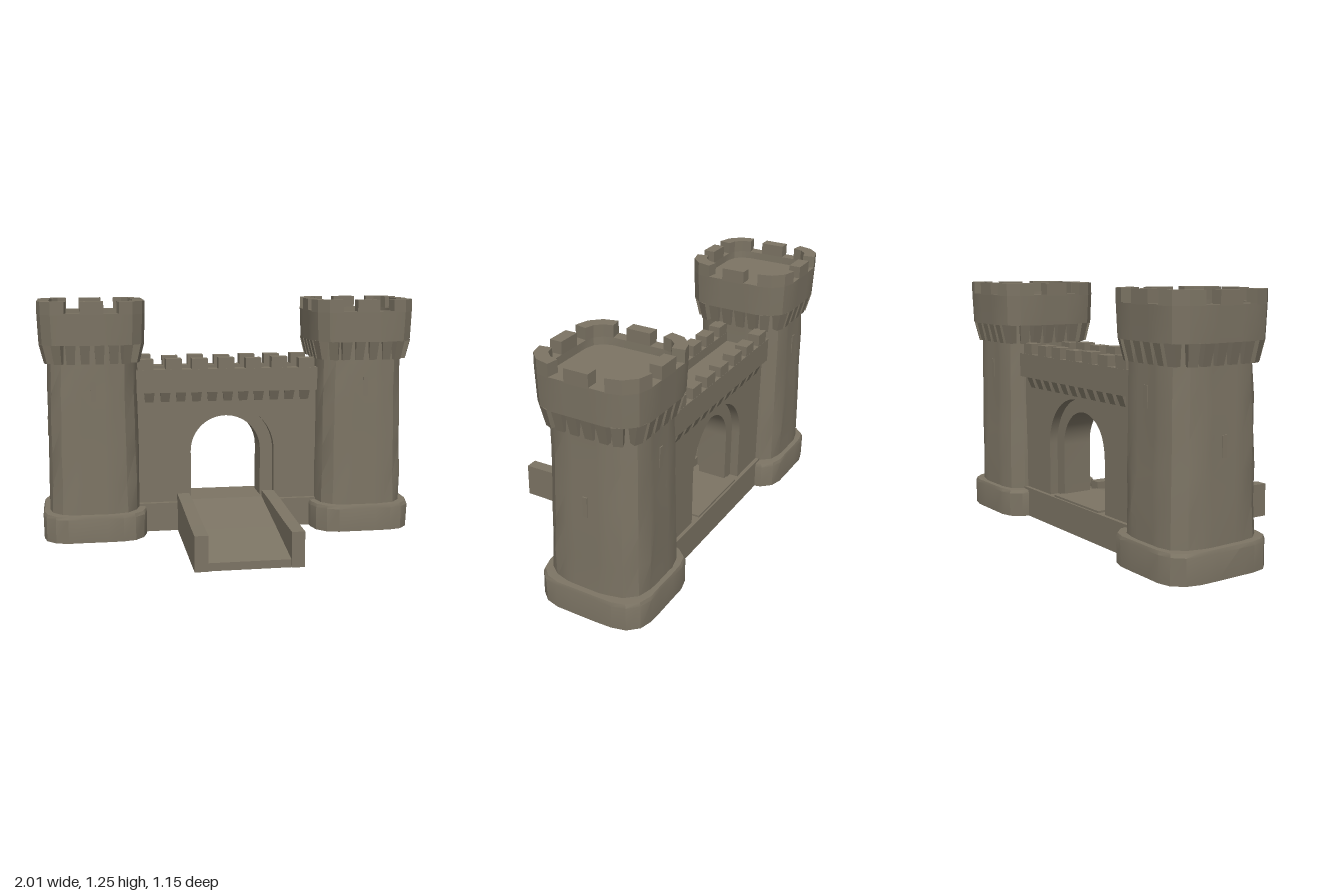
import * as THREE from 'three';
import { toCreasedNormals } from 'three/addons/utils/BufferGeometryUtils.js';

const stone = new THREE.MeshStandardMaterial({ color: 0x7c7464 });

function add(parent, name, geo, x = 0, y = 0, z = 0) {
  const mesh = new THREE.Mesh(geo, stone);
  mesh.name = name;
  mesh.position.set(x, y, z);
  parent.add(mesh);
  return mesh;
}

// Box given by its limits
function block(parent, name, x0, x1, y0, y1, z0, z1) {
  return add(parent, name, new THREE.BoxGeometry(x1 - x0, y1 - y0, z1 - z0),
    (x0 + x1) / 2, (y0 + y1) / 2, (z0 + z1) / 2);
}

// Rounded square, six points per side: four along the edge, two on the corner
function outline(a, b, r) {
  const pts = [], s = a - r;
  for (let k = 0; k < 4; k++) {
    const c = Math.cos(k * Math.PI / 2), n = Math.sin(k * Math.PI / 2);
    const local = [[a, -s], [a, -0.06], [a, 0.06], [a, s]];
    for (const t of [Math.PI / 6, Math.PI / 3]) local.push([s + r * Math.cos(t), s + r * Math.sin(t)]);
    for (const [u, v] of local) pts.push([u * c - v * n, (u * n + v * c) * b / a]);
  }
  return pts;
}

// Repeatable roughness for hewn stone
function rough(i, j) {
  const v = Math.sin(i * 12.99 + j * 78.23) * 43758.55;
  return v - Math.floor(v) - 0.5;
}

// Skin over rings [y, halfX, halfZ, radius], closed at both ends
function loft(rings, amount = 0) {
  const pos = [], idx = [], n = 24;
  rings.forEach(([y, a, b, r], j) => outline(a, b, r).forEach(([x, z], i) => {
    const k = 1 + amount * rough(i, j);
    pos.push(x * k, y, z * k);
  }));
  for (let j = 0; j < rings.length - 1; j++) {
    for (let i = 0; i < n; i++) {
      const p = j * n + i, q = j * n + (i + 1) % n;
      idx.push(p, p + n, q, q, p + n, q + n);
    }
  }
  const last = (rings.length - 1) * n, c = rings.length * n;
  pos.push(0, rings[0][0], 0, 0, rings.at(-1)[0], 0);
  for (let i = 0; i < n; i++) {
    const m = (i + 1) % n;
    idx.push(c, i, m, c + 1, last + m, last + i);
  }
  const g = new THREE.BufferGeometry();
  g.setAttribute('position', new THREE.Float32BufferAttribute(pos, 3));
  g.setIndex(idx);
  return toCreasedNormals(g, 0.45);
}

// Bracket with its front face at z = 0, leaning back towards the bottom
function bracket(w, h, d, lean) {
  const g = new THREE.BoxGeometry(w, h, d).translate(0, 0, -d / 2);
  const p = g.attributes.position;
  for (let i = 0; i < p.count; i++) {
    if (p.getY(i) < 0) {
      p.setX(i, p.getX(i) * 0.8);
      if (p.getZ(i) > -d / 2) p.setZ(i, -lean);
    }
  }
  g.computeVertexNormals();
  return g;
}

function makeTower(side) {
  const t = new THREE.Group();
  t.name = side > 0 ? 'leftTower' : 'rightTower';
  t.position.set(side * 0.725, 0, -0.287);

  add(t, 'towerBase', loft([
    [0, 0.272, 0.285, 0.13], [0.125, 0.274, 0.285, 0.13],
    [0.142, 0.268, 0.279, 0.13], [0.145, 0.22, 0.23, 0.13]], 0.012));
  add(t, 'towerShaft', loft([
    [0.13, 0.24, 0.256, 0.14], [0.3, 0.238, 0.254, 0.14], [0.46, 0.237, 0.251, 0.14],
    [0.62, 0.235, 0.248, 0.14], [0.78, 0.233, 0.245, 0.14], [0.92, 0.231, 0.242, 0.14],
    [1.04, 0.231, 0.242, 0.14]], 0.03));

  // Ring of brackets under the parapet
  const geo = bracket(0.052, 0.1, 0.07, 0.025), h = 0.272, r = 0.14;
  for (let k = 0; k < 4; k++) {
    const spots = [-0.11, -0.037, 0.037, 0.11].map(v => [h, v, 0]);
    for (const a of [0.39, 1.18]) spots.push([h - r + r * Math.cos(a), h - r + r * Math.sin(a), a]);
    for (const [u, v, a] of spots) {
      const q = k * Math.PI / 2, c = Math.cos(q), s = Math.sin(q);
      const m = add(t, 'towerBracket', geo, u * c - v * s, 0.982, u * s + v * c);
      m.rotation.y = Math.PI / 2 - q - a;
    }
  }

  // Hollow parapet with a sunken floor
  add(t, 'towerParapet', loft([
    [1.03, 0.272, 0.276, 0.14], [1.1, 0.275, 0.278, 0.14], [1.192, 0.278, 0.281, 0.14],
    [1.192, 0.218, 0.221, 0.09], [1.155, 0.216, 0.219, 0.09]]));

  // Merlons: one in the middle of each side, one round each corner
  const outer = outline(0.278, 0.281, 0.14), inner = outline(0.218, 0.221, 0.09);
  for (let k = 0; k < 4; k++) {
    for (const [from, to] of [[1, 2], [3, 6]]) {
      const ring = [];
      for (let i = from; i <= to; i++) ring.push(outer[(k * 6 + i) % 24]);
      for (let i = to; i >= from; i--) ring.push(inner[(k * 6 + i) % 24]);
      const shape = new THREE.Shape(ring.map(([x, z]) => new THREE.Vector2(x, -z)));
      const g = new THREE.ExtrudeGeometry(shape, { depth: 0.066, bevelEnabled: false });
      add(t, 'towerMerlon', g.rotateX(-Math.PI / 2), 0, 1.187 + 0.004 * rough(k, from), 0);
    }
  }

  // Arrow slits on the front, back and outer side
  const slit = new THREE.BoxGeometry(0.024, 0.1, 0.008);
  add(t, 'arrowSlit', slit, 0, 0.79, 0.245);
  add(t, 'arrowSlit', slit, 0, 0.79, -0.245);
  add(t, 'arrowSlit', slit, side * 0.236, 0.58, 0).rotation.y = Math.PI / 2;
  return t;
}

// Wall layer with an arched gateway of the given half width
function archLayer(parent, name, r, z0, z1) {
  const s = new THREE.Shape();
  s.moveTo(-0.54, 0.1);
  s.lineTo(-r, 0.1);
  s.lineTo(-r, 0.425);
  s.absarc(0, 0.425, r, Math.PI, 0, true);
  s.lineTo(r, 0.1);
  s.lineTo(0.54, 0.1);
  s.lineTo(0.54, 0.83);
  s.lineTo(-0.54, 0.83);
  const g = new THREE.ExtrudeGeometry(s, { depth: z1 - z0, bevelEnabled: false, curveSegments: 16 });
  add(parent, name, toCreasedNormals(g, 0.5), -0.005, 0, z0);
}

function makeWall() {
  const w = new THREE.Group();
  w.name = 'gateWall';
  block(w, 'wallPlinth', -0.52, 0.52, 0, 0.155, -0.47, -0.178);
  archLayer(w, 'outerArch', 0.262, -0.25, -0.205);
  archLayer(w, 'innerArch', 0.193, -0.405, -0.25);
  archLayer(w, 'outerArch', 0.262, -0.45, -0.405);

  // Parapet, merlons and brackets on both faces
  const geo = bracket(0.055, 0.062, 0.04, 0.025);
  for (const f of [1, -1]) {
    const mid = -0.328, z = mid + f * 0.115;
    block(w, 'wallParapet', -0.52, 0.52, 0.758, 0.882, z - 0.033, z + 0.033);
    for (let i = -3; i <= 3; i++) {
      const x = i * 0.146 - 0.005 + 0.02 * rough(i, f);
      block(w, 'wallMerlon', x - 0.043, x + 0.043, 0.87, 0.938 + 0.01 * rough(f, i), z - 0.032, z + 0.032);
    }
    for (let i = -5; i <= 5; i++) {
      const m = add(w, 'wallBracket', geo, i * 0.085, 0.729, mid + f * 0.145);
      m.rotation.y = f > 0 ? 0 : Math.PI;
    }
  }
  return w;
}

// Side profile of (z, y) points stretched from x0 to x1
function profile(parent, name, pts, x0, x1) {
  const s = new THREE.Shape(pts.map(p => new THREE.Vector2(...p)));
  const g = new THREE.ExtrudeGeometry(s, { depth: x1 - x0, bevelEnabled: false });
  add(parent, name, g.rotateY(-Math.PI / 2), x1, 0, 0);
}

function makeRamp() {
  const r = new THREE.Group();
  r.name = 'ramp';
  profile(r, 'rampFloor', [[0.568, 0], [0.568, 0.04], [0.2, 0.102], [-0.2, 0.165], [-0.46, 0.165], [-0.46, 0]], -0.22, 0.2);
  const side = [[0.575, 0], [0.575, 0.177], [0.4, 0.18], [0.2, 0.188], [0, 0.197], [-0.2, 0.2], [-0.2, 0]];
  profile(r, 'rampSide', side, -0.28, -0.213);
  profile(r, 'rampSide', side, 0.19, 0.255);
  return r;
}

export function createModel() {
  const castle = new THREE.Group();
  castle.name = 'castleGate';
  castle.add(makeTower(1), makeTower(-1), makeWall(), makeRamp());
  return castle;
}
